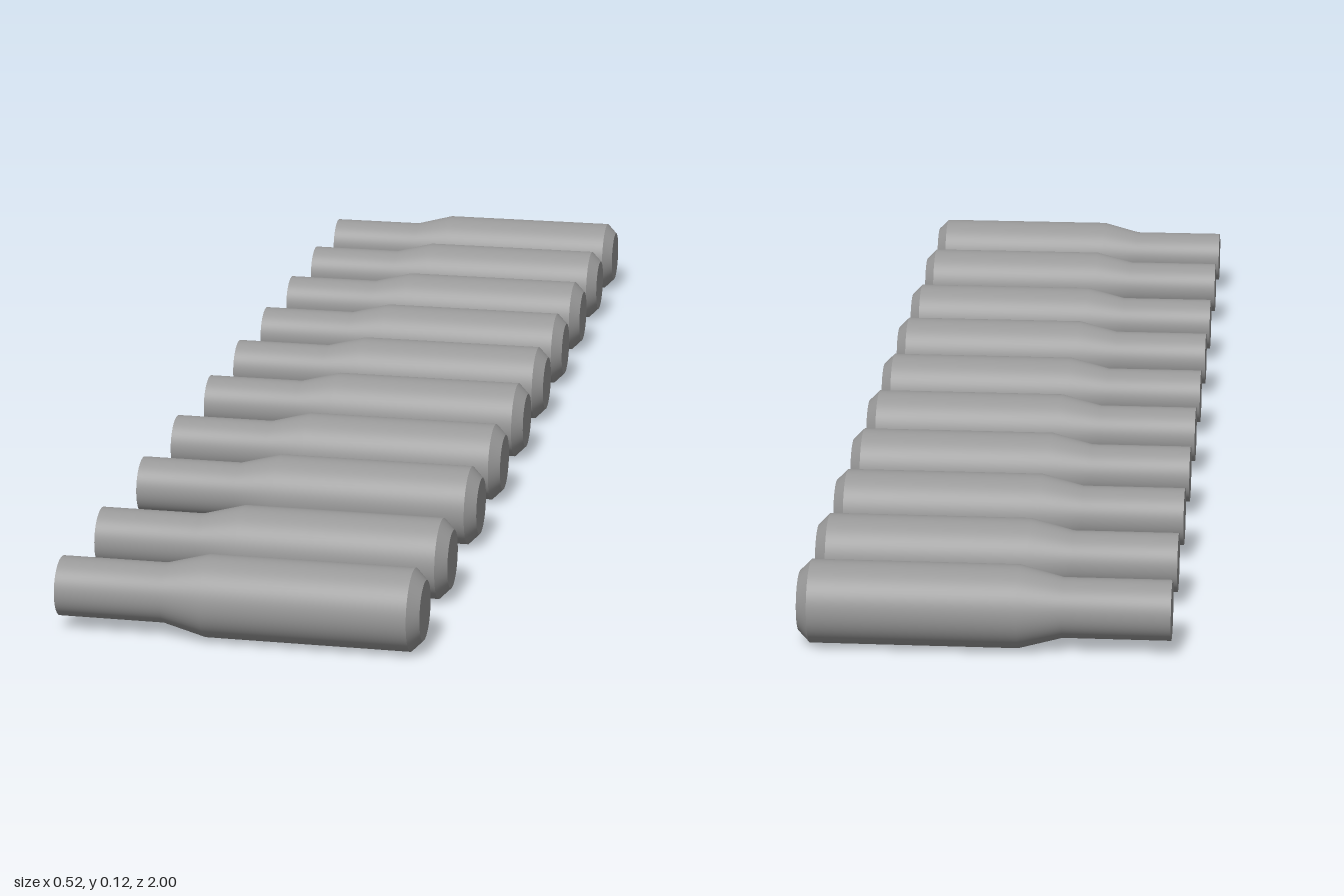
import * as THREE from 'three';
import { mergeGeometries } from 'three/addons/utils/BufferGeometryUtils.js';

const RADIUS = 0.058;

// Handle profile as [radius, position along x], split where the edge is sharp
const SECTIONS = [
  [[0, -0.258], [0.042, -0.258]], // neck end face
  [[0.042, -0.258], [0.042, -0.108], [RADIUS, -0.047], [RADIUS, 0.242]], // neck, shoulder, grip
  [[RADIUS, 0.242], [0.042, 0.258]], // chamfer
  [[0.042, 0.258], [0, 0.258]], // butt face
];

// Slightly uneven spacing of the row, back to front
const POSITIONS = [-0.942, -0.744, -0.541, -0.34, -0.139, 0.065, 0.281, 0.491, 0.729, 0.942];

export function createModel() {
  const group = new THREE.Group();
  group.name = 'handleRow';
  const material = new THREE.MeshStandardMaterial({ color: 0x999999 });

  // Turned handle lying along x, smooth within each section
  const geometry = mergeGeometries(SECTIONS.map((section) =>
    new THREE.LatheGeometry(section.map(([r, x]) => new THREE.Vector2(r, x)), 64)));
  geometry.rotateZ(-Math.PI / 2);

  POSITIONS.forEach((z, i) => {
    const handle = new THREE.Mesh(geometry, material);
    handle.name = `handle${i + 1}`;
    handle.position.set(0, RADIUS, z);
    group.add(handle);
  });
  return group;
}
